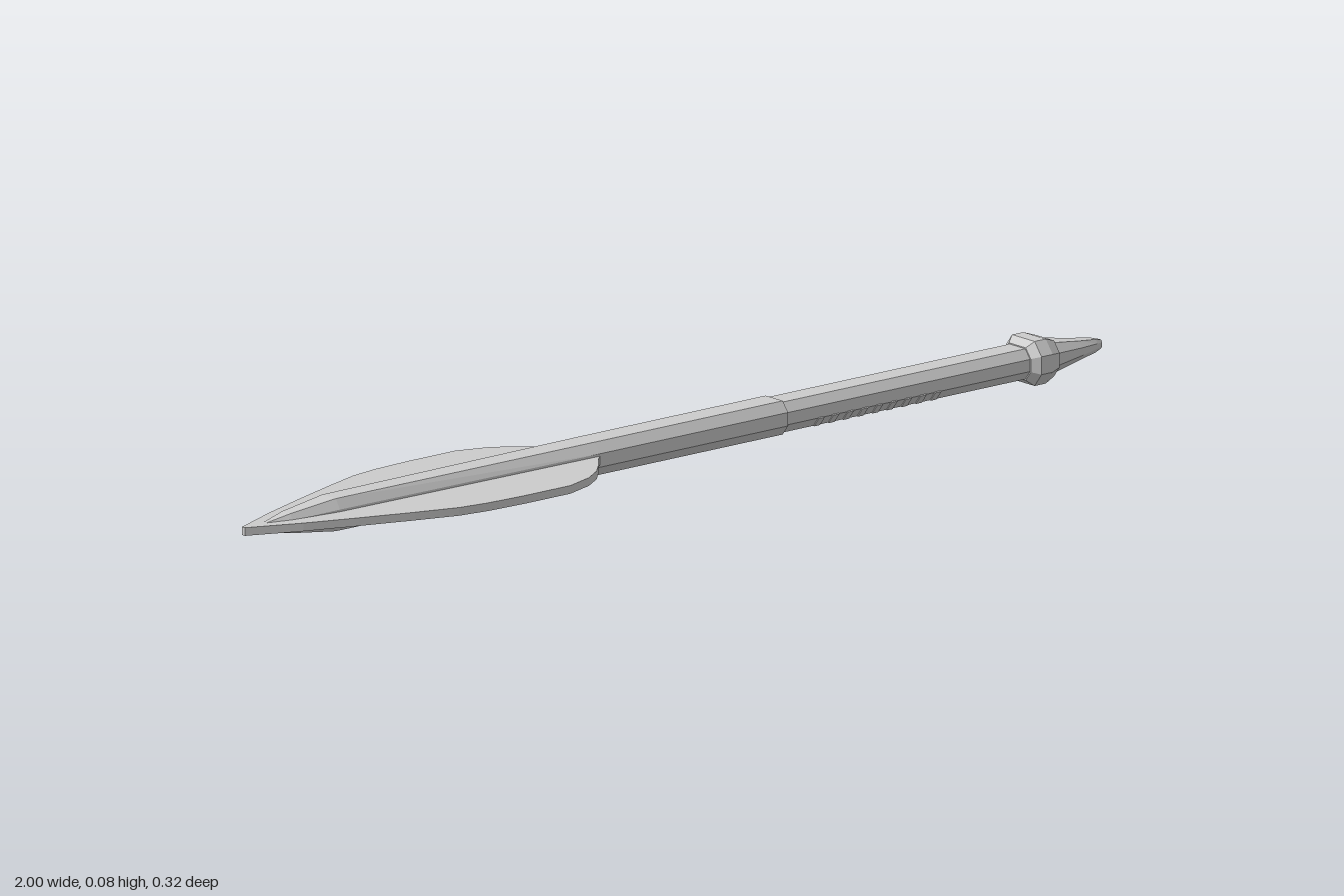
import * as THREE from 'three';

const material = new THREE.MeshStandardMaterial({ color: 0xcccccc, flatShading: true, side: THREE.DoubleSide });
const AXIS_Y = 0.041;

// Chamfered eight-sided section as [y, z] factors, counter-clockwise seen from +x
const SECTION = [[1, -0.62], [1, 0.62], [0.4, 1], [-0.4, 1], [-1, 0.62], [-1, -0.62], [-0.4, -1], [0.4, -1]];

// Lofts the section along x through stations [x, halfHeight, halfWidth]
function loft(stations) {
  const n = SECTION.length, pos = [], index = [];
  for (const [x, h, w] of stations) {
    for (const [y, z] of SECTION) pos.push(x, AXIS_Y + y * h, z * w);
  }
  for (let s = 0; s < stations.length - 1; s++) {
    for (let i = 0; i < n; i++) {
      const a = s * n + i, b = s * n + (i + 1) % n;
      index.push(a, b, b + n, a, b + n, a + n);
    }
  }
  const last = (stations.length - 1) * n;
  for (let i = 1; i < n - 1; i++) {
    index.push(0, i + 1, i, last, last + i, last + i + 1);
  }
  const g = new THREE.BufferGeometry();
  g.setAttribute('position', new THREE.Float32BufferAttribute(pos, 3));
  g.setIndex(index);
  const flat = g.toNonIndexed();
  flat.computeVertexNormals();
  return flat;
}

// Leaf-shaped plate lying flat, mirrored about the shaft
function bladeGeometry() {
  const half = [
    [-1, 0.004], [-0.9, 0.047], [-0.8, 0.084], [-0.7, 0.119], [-0.62, 0.145], [-0.56, 0.154],
    [-0.48, 0.158], [-0.37, 0.158], [-0.31, 0.138], [-0.27, 0.112], [-0.24, 0.082], [-0.215, 0.052], [-0.19, 0.03],
  ];
  const outline = [...half, ...half.map(([x, z]) => [x, -z]).reverse()];
  const shape = new THREE.Shape(outline.map(([x, z]) => new THREE.Vector2(x, z)));
  const g = new THREE.ExtrudeGeometry(shape, { depth: 0.015, bevelEnabled: false });
  g.rotateX(-Math.PI / 2);
  g.translate(0, 0.034, 0);
  return g;
}

export function createModel() {
  const group = new THREE.Group();
  const add = (name, geometry, parent = group) => {
    const mesh = new THREE.Mesh(geometry, material);
    mesh.name = name;
    parent.add(mesh);
    return mesh;
  };

  add('blade', bladeGeometry());

  // Shaft runs along the blade as a spine and tapers out near its point
  add('shaft', loft([
    [-0.95, 0.008, 0.006], [-0.9, 0.018, 0.018], [-0.8, 0.03, 0.03], [-0.2, 0.031, 0.038], [0.24, 0.031, 0.038],
  ]));
  add('grip', loft([[0.24, 0.028, 0.035], [0.82, 0.028, 0.035]]));

  // Collar and pointed end cap
  add('collar', loft([
    [0.808, 0.03, 0.037], [0.822, 0.041, 0.05], [0.848, 0.041, 0.05], [0.872, 0.033, 0.041],
  ]));
  add('endCap', loft([
    [0.868, 0.029, 0.037], [0.94, 0.018, 0.023], [0.985, 0.012, 0.012], [1, 0.008, 0.007],
  ]));

  // Shallow ribs on the lower chamfers of the grip
  const ribs = new THREE.Group();
  ribs.name = 'gripRibs';
  group.add(ribs);
  for (let i = 0; i < 9; i++) {
    for (const side of [-1, 1]) {
      const rib = add('gripRib', new THREE.BoxGeometry(0.014, 0.022, 0.004), ribs);
      rib.position.set(0.32 + i * 0.034, 0.022, side * 0.0285);
      rib.rotation.x = side * 0.67;
    }
  }
  return group;
}
